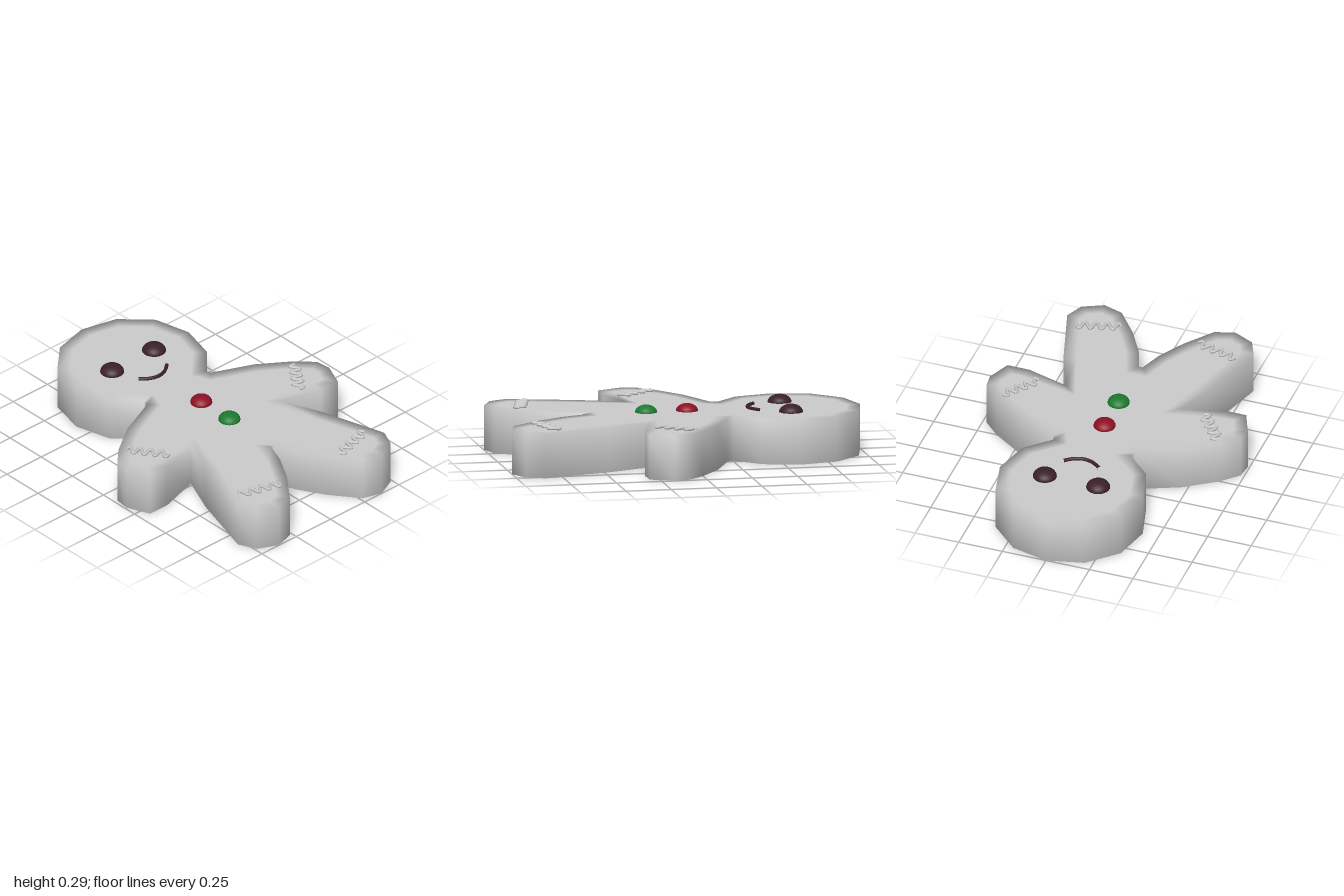
import * as THREE from 'three';
import { mergeVertices } from 'three/addons/utils/BufferGeometryUtils.js';

const TOP = 0.245;
const mat = (color) => new THREE.MeshStandardMaterial({ color });

// Right half of the outline as [x, z], from the crown to the crotch
const HALF = [
  [0, -1], [0.205, -0.95], [0.36, -0.8], [0.41, -0.59], [0.355, -0.385], [0.22, -0.255],
  [0.235, -0.22], [0.465, -0.12], [0.64, 0], [0.73, 0.09], [0.74, 0.175], [0.685, 0.305],
  [0.56, 0.305], [0.325, 0.235], [0.42, 0.46], [0.535, 0.845], [0.49, 0.945], [0.375, 1],
  [0.265, 0.965], [0.145, 0.81], [0.055, 0.655], [0.01, 0.53],
];

function bodyGeometry() {
  const left = HALF.slice(1).reverse().map(([x, z]) => [-x, z]);
  const shape = new THREE.Shape([...HALF, ...left].map(([x, z]) => new THREE.Vector2(x, -z)));
  // The flat bevel adds an inset ring, so the soft shading stays near the rim
  const inset = 0.07;
  const geo = new THREE.ExtrudeGeometry(shape, {
    depth: TOP, bevelEnabled: true, bevelThickness: 0, bevelSize: inset, bevelOffset: -inset, bevelSegments: 1,
  });
  geo.rotateX(-Math.PI / 2);
  geo.deleteAttribute('uv');
  geo.deleteAttribute('normal');
  const smooth = mergeVertices(geo, 1e-4);
  smooth.computeVertexNormals();
  return smooth;
}

// Wavy line of icing between two [x, z] points
function icingGeometry([x0, z0], [x1, z1], waves, amp) {
  const len = Math.hypot(x1 - x0, z1 - z0);
  const nx = -(z1 - z0) / len, nz = (x1 - x0) / len;
  const pts = [];
  const n = waves * 8;
  for (let i = 0; i <= n; i++) {
    const t = i / n;
    const s = Math.sin(t * waves * Math.PI * 2) * amp;
    pts.push(new THREE.Vector3(x0 + (x1 - x0) * t + nx * s, TOP + 0.007, z0 + (z1 - z0) * t + nz * s));
  }
  return new THREE.TubeGeometry(new THREE.CatmullRomCurve3(pts), n * 2, 0.009, 6);
}

export function createModel() {
  const model = new THREE.Group();
  const add = (name, geo, material) => {
    const mesh = new THREE.Mesh(geo, material);
    mesh.name = name;
    model.add(mesh);
    return mesh;
  };
  const grey = mat(0xcccccc);
  const dark = mat(0x3b2028);

  add('cookieBody', bodyGeometry(), grey);

  // Flattened domes for eyes and buttons
  const dome = (name, x, z, r, h, material) => {
    const m = add(name, new THREE.SphereGeometry(1, 24, 16), material);
    m.scale.set(r, h, r);
    m.position.set(x, TOP, z);
  };
  dome('leftEye', 0.153, -0.587, 0.065, 0.043, dark);
  dome('rightEye', -0.153, -0.587, 0.065, 0.043, dark);
  dome('upperButton', 0.004, -0.043, 0.06, 0.04, mat(0x8f1024));
  dome('lowerButton', 0.004, 0.183, 0.06, 0.04, mat(0x1c7a30));

  // Smile
  const smile = new THREE.QuadraticBezierCurve3(
    new THREE.Vector3(-0.103, TOP + 0.006, -0.43),
    new THREE.Vector3(0, TOP + 0.006, -0.328),
    new THREE.Vector3(0.103, TOP + 0.006, -0.43));
  add('smile', new THREE.TubeGeometry(smile, 24, 0.01, 8), dark);

  // Icing on the hands and feet, mirrored
  for (const [side, s] of [['left', 1], ['right', -1]]) {
    add(side + 'HandIcing', icingGeometry([s * 0.615, 0.035], [s * 0.475, 0.225], 4, s * 0.028), grey);
    add(side + 'FootIcing', icingGeometry([s * 0.455, 0.77], [s * 0.22, 0.835], 4, s * 0.028), grey);
  }
  return model;
}
